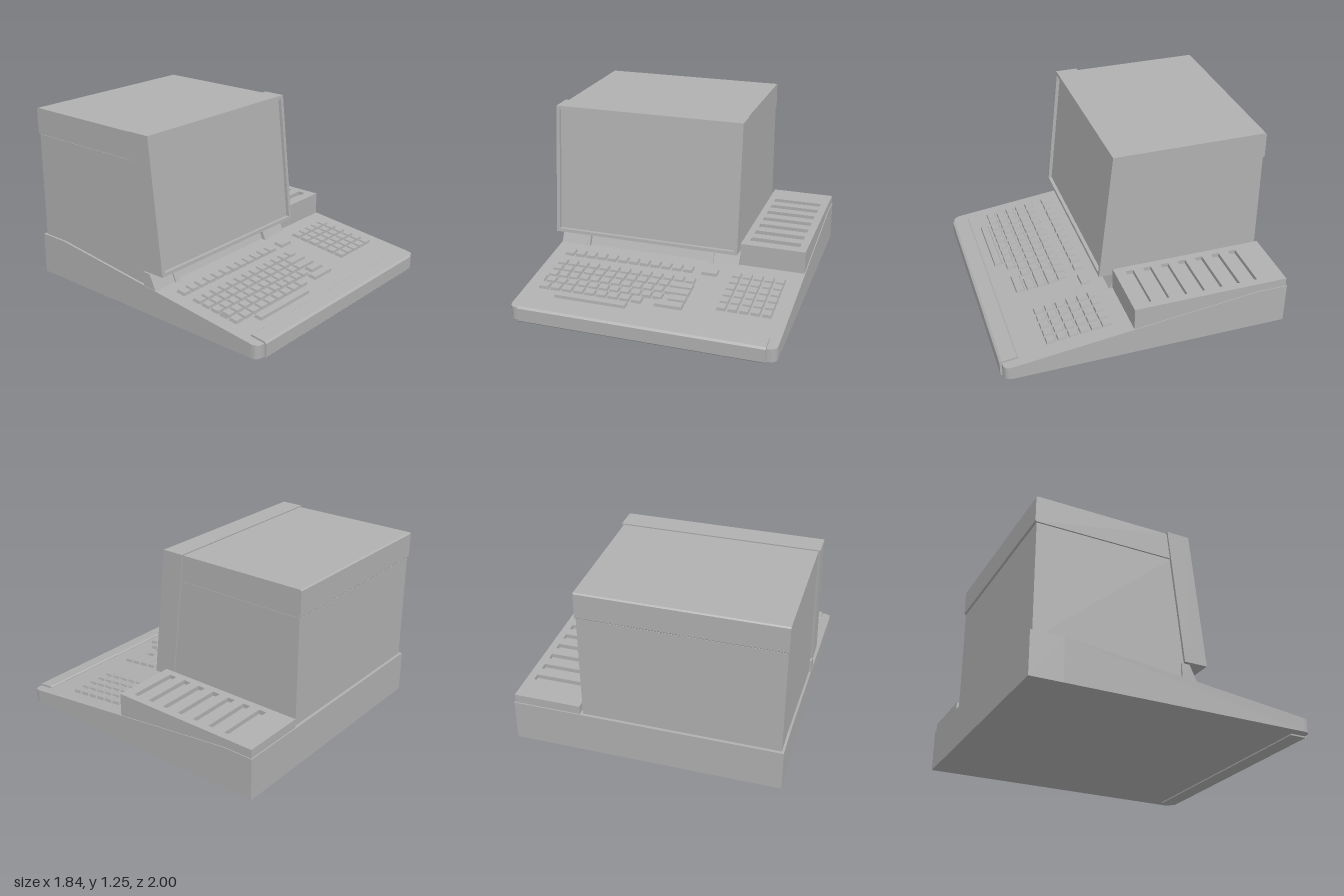
import * as THREE from 'three';

const plastic = new THREE.MeshStandardMaterial({ color: 0xb0b0b0 });
plastic.name = 'grey plastic';

const SLOPE = 0.115;
const deckY = z => 0.214 - SLOPE * z; // height of the sloping keyboard deck

const rect = (x0, x1, y0, y1) => [[x0, y0], [x1, y0], [x1, y1], [x0, y1]];
const toPath = (pts, Type = THREE.Shape) => new Type(pts.map(p => new THREE.Vector2(...p)));
const extrude = (shape, depth) => new THREE.ExtrudeGeometry(shape, { depth, bevelEnabled: false, curveSegments: 6 });

// Extrudes a side profile of [z, y] points from x0 to x1
function profile(pts, x0, x1) {
  return extrude(toPath(pts), x1 - x0).rotateY(-Math.PI / 2).translate(x1, 0, 0);
}

// Moves every vertex by a rule
function warp(geo, rule) {
  const p = geo.attributes.position, v = new THREE.Vector3();
  for (let i = 0; i < p.count; i++) {
    rule(v.fromBufferAttribute(p, i));
    p.setXYZ(i, v.x, v.y, v.z);
  }
  geo.computeVertexNormals();
  return geo;
}

function add(parent, name, geo) {
  const mesh = new THREE.Mesh(geo, plastic);
  mesh.name = name;
  parent.add(mesh);
  return mesh;
}

function box(parent, name, x0, x1, y0, y1, z0, z1) {
  const geo = new THREE.BoxGeometry(x1 - x0, y1 - y0, z1 - z0);
  return add(parent, name, geo.translate((x0 + x1) / 2, (y0 + y1) / 2, (z0 + z1) / 2));
}

function group(parent, name) {
  const g = new THREE.Group();
  g.name = name;
  parent.add(g);
  return g;
}

// Tapered key cap lying on the deck
function key(parent, x0, x1, z0, z1) {
  const w = x1 - x0, d = z1 - z0, h = 0.03, inset = 0.007;
  const geo = warp(new THREE.BoxGeometry(w, h, d), v => {
    if (v.y > 0) {
      v.x -= Math.sign(v.x) * inset;
      v.z -= Math.sign(v.z) * inset;
    }
  });
  const z = (z0 + z1) / 2;
  const mesh = add(parent, 'key', geo);
  mesh.position.set((x0 + x1) / 2, deckY(z) + 0.006, z);
  mesh.rotation.x = Math.atan(SLOPE);
}

function keyRow(parent, x0, count, pitch, z0, z1) {
  for (let i = 0; i < count; i++) key(parent, x0 + i * pitch, x0 + (i + 1) * pitch - 0.009, z0, z1);
}

function buildBase(model) {
  const base = group(model, 'base');
  const W = 0.918, F = 0.985, B = -0.78, r = 0.055;

  // Wedge with rounded front corners
  const plan = new THREE.Shape();
  plan.moveTo(-W, -B);
  plan.lineTo(-W, -F + r);
  plan.quadraticCurveTo(-W, -F, -W + r, -F);
  plan.lineTo(W - r, -F);
  plan.quadraticCurveTo(W, -F, W, -F + r);
  plan.lineTo(W, -B);
  const wedge = extrude(plan, 1).rotateX(-Math.PI / 2);
  add(base, 'wedge', warp(wedge, v => { v.y = v.y > 0.5 ? deckY(v.z) : 0.01; }));
  box(base, 'rearBlock', -W, W, 0.01, deckY(B), -1, B);

  // Front rest strip
  add(base, 'frontStrip', profile([
    [0.875, 0], [0.99, 0], [1, 0.01], [1, 0.102], [0.985, 0.114], [0.885, 0.126], [0.875, 0.118],
  ], -0.85, 0.85));
}

function buildVents(model) {
  const vents = group(model, 'ventHousing');
  box(vents, 'ventBody', 0.45, 0.912, 0.15, 0.335, -0.992, 0.1);

  // Slotted cover
  const cover = toPath(rect(0.45, 0.912, -0.1, 0.992));
  for (let i = 0; i < 7; i++) {
    const z = -0.77 + i * 0.1275;
    cover.holes.push(toPath(rect(0.5, 0.858, -z - 0.028, -z + 0.028), THREE.Path));
  }
  add(vents, 'slottedCover', extrude(cover, 0.03).rotateX(-Math.PI / 2).translate(0, 0.335, 0));
}

function buildMonitor(model) {
  const monitor = group(model, 'monitor');
  const lean = v => { v.z -= (v.y - 0.32) * 0.1075; };

  // Leaning bezel and recessed screen
  const frame = toPath(rect(-0.92, 0.45, 0.32, 1.25));
  frame.holes.push(toPath(rect(-0.895, 0.425, 0.343, 1.226), THREE.Path));
  add(monitor, 'bezel', warp(extrude(frame, 0.16).translate(0, 0, 0.04), lean));
  const screen = extrude(toPath(rect(-0.9, 0.43, 0.335, 1.235)), 0.12);
  add(monitor, 'screen', warp(screen.translate(0, 0, 0.055), lean));

  // Cabinet and its lid
  add(monitor, 'cabinet', profile([[-0.98, 0.25], [0.06, 0.18], [-0.035, 1.053], [-0.98, 1.053]], -0.902, 0.432));
  add(monitor, 'lid', profile([
    [-0.982, 1.057], [-0.03, 1.057], [-0.05, 1.242], [-0.98, 1.242], [-0.99, 1.234], [-0.99, 1.065],
  ], -0.907, 0.437));

  // Sloping neck under the screen, with raised ends and two ribs
  add(monitor, 'neck', profile([[0.02, 0.18], [0.115, 0.18], [0.06, 0.308], [0.02, 0.308]], -0.905, 0.44));
  for (const [x0, x1] of [[-0.915, -0.73], [0.26, 0.447]]) {
    add(monitor, 'neckEnd', profile([[0.02, 0.18], [0.135, 0.18], [0.075, 0.308], [0.02, 0.308]], x0, x1));
  }
  for (const x of [-0.73, 0.22]) {
    add(monitor, 'neckRib', profile([[0.02, 0.18], [0.145, 0.18], [0.085, 0.32], [0.02, 0.32]], x, x + 0.04));
  }
}

function buildKeyboard(model) {
  const keys = group(model, 'keyboard');
  keyRow(keys, -0.82, 12, 0.082, 0.22, 0.295);
  key(keys, 0.215, 0.335, 0.22, 0.295);

  // Main rows: [start, square keys, start of the wide last key]
  const rows = [
    [-0.82, 13, null], [-0.745, 10, 0.055], [-0.82, 11, 0.042], [-0.8, 11, 0.088], [-0.735, 8, 0.02],
  ];
  rows.forEach(([x0, count, wide], i) => {
    const z0 = 0.362 + i * 0.077, z1 = z0 + 0.068;
    if (x0 > -0.82) key(keys, -0.82, x0 - 0.009, z0, z1);
    keyRow(keys, x0, count, i === 1 || i === 0 ? 0.08 : i === 4 ? 0.0845 : 0.0783, z0, z1);
    if (wide !== null) key(keys, wide, 0.22, z0, z1);
  });
  key(keys, -0.67, -0.15, 0.752, 0.815);

  // Number pad
  const pad = group(model, 'numberPad');
  for (let i = 0; i < 6; i++) keyRow(pad, 0.433, 5, 0.0775, 0.22 + i * 0.077, 0.29 + i * 0.077);
}

export function createModel() {
  const model = new THREE.Group();
  model.name = 'desktopTerminal';
  buildBase(model);
  buildVents(model);
  buildMonitor(model);
  buildKeyboard(model);
  return model;
}
